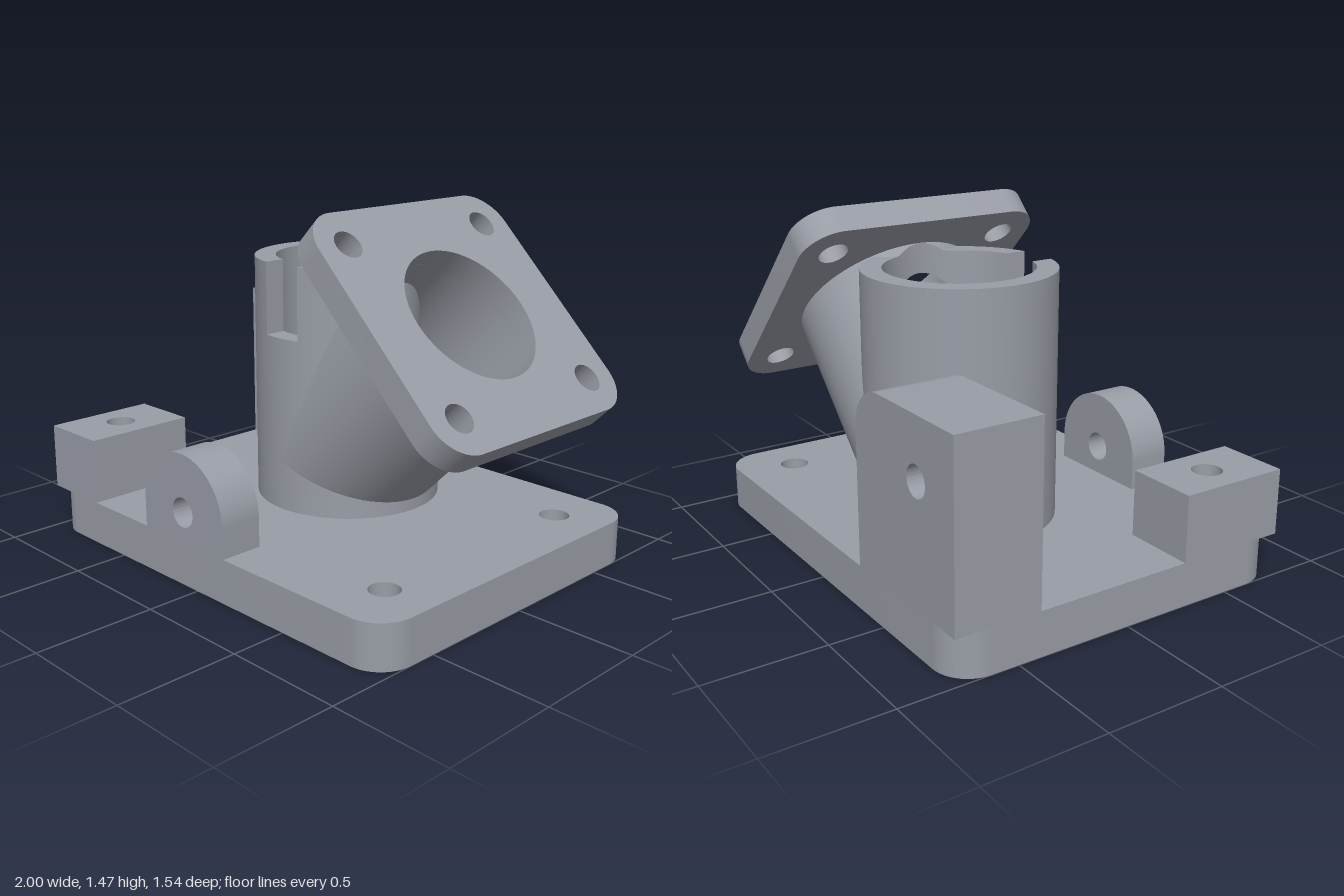
import * as THREE from 'three';
import { toCreasedNormals, mergeGeometries } from 'three/addons/utils/BufferGeometryUtils.js';

const R_OUT = 0.4, R_IN = 0.31, R_BOLT = 0.063;
const BASE_H = 0.185, TOP = 1.235, SLOT_Y = 0.93;
const SLOT = [-0.09, 0.095]; // slot sides, measured from the barrel axis
const CX = -0.08, CY = 0.4, CZ = -0.155; // where the barrel and branch axes cross
const K = Math.tan(Math.PI / 8), Q = Math.SQRT1_2;

// Ruled strip between curves a and b (t = 0..1), skipping collapsed quads
function ruled(a, b, n, flip = false) {
  const pos = [], idx = [];
  for (let i = 0; i <= n; i++) pos.push(...a(i / n), ...b(i / n));
  const gap = (i) => Math.hypot(...[0, 1, 2].map((k) => pos[i * 6 + k] - pos[i * 6 + 3 + k]));
  for (let i = 0; i < n; i++) {
    if (gap(i) + gap(i + 1) < 1e-5) continue;
    const [p, q, r, s] = [2 * i, 2 * i + 2, 2 * i + 3, 2 * i + 1];
    idx.push(...(flip ? [p, r, q, p, s, r] : [p, q, r, p, r, s]));
  }
  const g = new THREE.BufferGeometry();
  g.setAttribute('position', new THREE.Float32BufferAttribute(pos, 3));
  g.setIndex(idx);
  g.computeVertexNormals();
  return g;
}

function circle(x, y, r) {
  return new THREE.Path().absarc(x, y, r, 0, Math.PI * 2, true);
}

function roundedRect(w, h, r) {
  const s = new THREE.Shape(), x = w / 2 - r, y = h / 2 - r;
  s.absarc(x, y, r, 0, Math.PI / 2);
  s.absarc(-x, y, r, Math.PI / 2, Math.PI);
  s.absarc(-x, -y, r, Math.PI, Math.PI * 1.5);
  s.absarc(x, -y, r, Math.PI * 1.5, Math.PI * 2);
  s.closePath();
  return s;
}

function extrude(shape, depth, holes) {
  shape.holes.push(...holes.map((h) => circle(...h)));
  const g = new THREE.ExtrudeGeometry(shape, { depth, bevelEnabled: false, curveSegments: 32 });
  return toCreasedNormals(g, 0.5);
}

// Upright barrel with the branch opening and the front slot cut out
function barrelGeometry() {
  const parts = [];
  const at = (r, th, y) => [CX + r * Math.sin(th), y, CZ + r * Math.cos(th)];
  const spans = (r) => {
    const [a, b] = SLOT.map((x) => Math.asin(x / r));
    return [[a, 0, SLOT_Y], [0, b, SLOT_Y], [b, Math.PI, TOP], [Math.PI, Math.PI * 2 + a, TOP]];
  };
  const angle = ([s, e], t) => s + (e - s) * t;
  for (const r of [R_OUT, R_IN]) {
    const inner = r === R_IN;
    for (const span of spans(r)) {
      const dx = (t) => Math.max(0, r * Math.sin(angle(span, t)));
      // the inner wall rises to meet the branch where it passes the rim
      const top = (t) => {
        const th = angle(span, t), dz = r * Math.cos(th);
        const reach = CY + r * Math.sin(th) + Math.SQRT2 * Math.sqrt(Math.max(0, R_OUT ** 2 - dz * dz));
        return inner && dx(t) > 0.15 ? Math.max(span[2], reach) : span[2];
      };
      parts.push(ruled((t) => at(r, angle(span, t), BASE_H),
        (t) => at(r, angle(span, t), CY - dx(t) * K), 48, inner));
      parts.push(ruled((t) => at(r, angle(span, t), Math.min(top(t), CY + dx(t) / K)),
        (t) => at(r, angle(span, t), top(t)), 48, inner));
    }
  }
  // rim and slot floor
  const outer = spans(R_OUT), inner = spans(R_IN);
  outer.forEach((o, i) => parts.push(ruled(
    (t) => at(R_OUT, angle(o, t), o[2]), (t) => at(R_IN, angle(inner[i], t), o[2]), 48)));
  // slot sides
  SLOT.forEach((x, i) => {
    const edge = (y) => (t) => at(t ? R_OUT : R_IN, Math.asin(x / (t ? R_OUT : R_IN)), y);
    parts.push(ruled(edge(SLOT_Y), edge(TOP), 1, i === 0));
  });
  return mergeGeometries(parts);
}

// Tube at 45 degrees, mitred against the barrel
function branchGeometry() {
  const at = (r, phi, s) => {
    const p = r * Math.cos(phi);
    return [CX + (s - p) * Q, CY + (s + p) * Q, CZ + r * Math.sin(phi)];
  };
  const start = (r, phi) => {
    const p = r * Math.cos(phi), dz = r * Math.sin(phi);
    if (p < 0) return -p * K;
    const rim = (TOP - CY) * Math.SQRT2 - p;
    const bore = p + Math.SQRT2 * Math.sqrt(Math.max(0, R_IN ** 2 - dz * dz));
    return r === R_IN ? p / K : Math.min(p / K, Math.max(rim, bore), 0.84);
  };
  return mergeGeometries([[R_OUT, 0.84], [R_IN, 0.85]].map(([r, end]) => ruled(
    (t) => at(r, t * Math.PI * 2, start(r, t * Math.PI * 2)),
    (t) => at(r, t * Math.PI * 2, end), 96, r === R_IN)));
}

export function createModel() {
  const model = new THREE.Group();
  const metal = new THREE.MeshStandardMaterial({ color: 0x999da6 });
  metal.name = 'grey metal';
  const add = (name, geometry, x = 0, y = 0, z = 0) => {
    const mesh = new THREE.Mesh(geometry, metal);
    mesh.name = name;
    mesh.position.set(x, y, z);
    model.add(mesh);
    return mesh;
  };

  // Base plate with barrel bore and two bolt holes
  add('basePlate', extrude(roundedRect(2, 1.54, 0.15), BASE_H,
    [[CX, -CZ, R_IN], [0.78, 0.52, R_BOLT], [0.78, -0.52, R_BOLT]]).rotateX(-Math.PI / 2));

  add('barrel', barrelGeometry());
  add('branchTube', branchGeometry());

  // Square flange on the end of the branch
  const corners = [];
  for (const x of [-0.4, 0.4]) for (const y of [-0.4, 0.4]) corners.push([x, y, R_BOLT]);
  add('flange', extrude(roundedRect(1.11, 1.11, 0.16), 0.12, [[0, 0, R_IN], ...corners])
    .rotateY(Math.PI / 2).rotateZ(Math.PI / 4), CX + 0.84 * Q, CY + 0.84 * Q, CZ);

  // Tall rear lug with one rounded top corner
  const rear = new THREE.Shape();
  rear.moveTo(-1, BASE_H);
  rear.lineTo(-0.325, BASE_H);
  rear.absarc(-0.495, 0.755, 0.17, 0, Math.PI / 2);
  rear.lineTo(-1, 0.925);
  rear.closePath();
  add('rearLug', extrude(rear, 0.365, [[-0.755, 0.68, R_BOLT]]), 0, 0, -0.77);

  // Round-topped front lug
  const front = new THREE.Shape();
  front.moveTo(CX - 0.245, BASE_H);
  front.lineTo(CX + 0.245, BASE_H);
  front.absarc(CX, 0.31, 0.245, 0, Math.PI);
  front.closePath();
  add('frontLug', extrude(front, 0.185, [[CX, 0.31, R_BOLT]]), 0, 0, 0.585);

  // Corner block with a blind hole from above
  const block = new THREE.Shape();
  block.moveTo(-1, -0.77);
  block.lineTo(-0.69, -0.77);
  block.lineTo(-0.69, -0.28);
  block.lineTo(-1, -0.28);
  block.closePath();
  add('cornerBlock', extrude(block, 0.28, [[-0.845, -0.52, R_BOLT]]).rotateX(-Math.PI / 2), 0, BASE_H, 0);

  return model;
}
